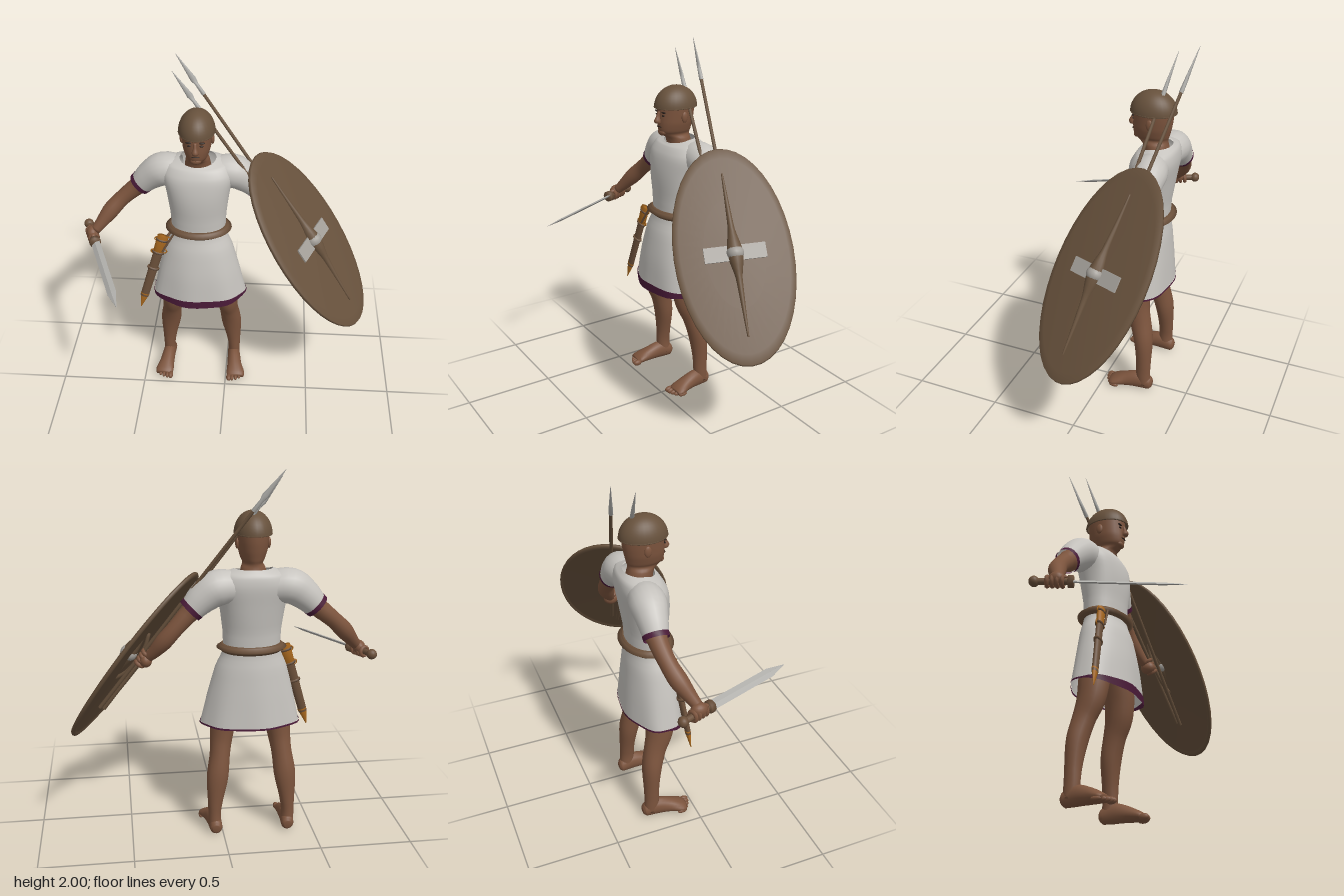
import * as THREE from 'three';

const V = (x, y, z) => new THREE.Vector3(x, y, z);
const paint = (name, color, side = THREE.FrontSide) => {
  const m = new THREE.MeshStandardMaterial({ color, side });
  m.name = name;
  return m;
};
const CX = -0.16; // body centre line

// Lofts elliptical rings along points [x, y, z, radiusA, radiusB, squareness]
function loft(points, { n = 16, steps = 4, roll = 0, level = false, caps = true, flat = false, warp = null } = {}) {
  const path = new THREE.CatmullRomCurve3(points.map(p => V(p[0], p[1], p[2])));
  const radii = new THREE.CatmullRomCurve3(points.map(p => V(p[3], p[4] ?? p[3], p[5] ?? 1)));
  const rows = (points.length - 1) * steps, pos = [], idx = [];
  const pw = (v, e) => Math.sign(v) * Math.abs(v) ** e;
  for (let i = 0; i <= rows; i++) {
    const p = path.getPoint(i / rows), r = radii.getPoint(i / rows);
    const t = level ? V(0, 1, 0) : path.getTangent(i / rows);
    const u = V().crossVectors(t, Math.abs(t.z) > 0.9 ? V(0, 1, 0) : V(0, 0, 1)).normalize().applyAxisAngle(t, roll);
    const w = V().crossVectors(t, u);
    for (let j = 0; j < n; j++) {
      const a = (j / n) * Math.PI * 2;
      const q = p.clone().addScaledVector(u, pw(Math.cos(a), r.z) * r.x).addScaledVector(w, pw(Math.sin(a), r.z) * r.y);
      if (warp) warp(q, a, i / rows);
      pos.push(q.x, q.y, q.z);
    }
  }
  for (let i = 0; i < rows; i++) for (let j = 0; j < n; j++) {
    const a = i * n + j, b = i * n + (j + 1) % n;
    idx.push(a, b, a + n, b, b + n, a + n);
  }
  if (caps) for (const [row, p, flip] of [[0, points[0], true], [rows, points.at(-1), false]]) {
    const c = pos.length / 3;
    pos.push(p[0], p[1], p[2]);
    for (let j = 0; j < n; j++) {
      const a = row * n + j, b = row * n + (j + 1) % n;
      idx.push(c, flip ? b : a, flip ? a : b);
    }
  }
  let g = new THREE.BufferGeometry();
  g.setAttribute('position', new THREE.Float32BufferAttribute(pos, 3));
  g.setIndex(idx);
  if (flat) g = g.toNonIndexed();
  g.computeVertexNormals();
  return g;
}

export function createModel() {
  const skin = paint('skin', 0x7c543d);
  const cloth = paint('undyed cloth', 0xc6c3be, THREE.DoubleSide);
  const purple = paint('purple trim', 0x4a1a38, THREE.DoubleSide);
  const wood = paint('brown wood', 0x67513c, THREE.DoubleSide);
  const leather = paint('leather', 0x6b503a);
  const steel = paint('steel', 0xb0afab);
  const plate = paint('shield plate', 0xa39f99);
  const brass = paint('brass', 0xa8681e);
  const dark = paint('dark hair', 0x2c211b);

  const model = new THREE.Group();
  const add = (name, geo, mat, parent = model) => {
    const m = new THREE.Mesh(geo, mat);
    m.name = name;
    parent.add(m);
    return m;
  };
  const ball = (name, mat, p, s, parent = model) => {
    const m = add(name, new THREE.SphereGeometry(1, 16, 12), mat, parent);
    m.position.set(...p);
    m.scale.set(...s);
    return m;
  };
  const rod = (name, mat, a, b, r, r2 = r) => add(name, loft([[...a, r], [...b, r2]], { n: 8, steps: 1 }), mat);

  // Head and neck
  add('head', loft([
    [CX, 1.42, -0.225, 0.075, 0.07], [CX, 1.49, -0.21, 0.064, 0.07], [CX, 1.515, -0.193, 0.052, 0.085],
    [CX, 1.535, -0.188, 0.062, 0.097], [CX, 1.58, -0.19, 0.075, 0.105], [CX, 1.63, -0.194, 0.08, 0.108],
    [CX, 1.69, -0.195, 0.083, 0.108], [CX, 1.73, -0.195, 0.06, 0.08]], { n: 24, level: true }), skin);
  add('nose', loft([[CX, 1.583, -0.082, 0.017, 0.019], [CX, 1.594, -0.078, 0.018, 0.021],
    [CX, 1.62, -0.082, 0.01, 0.013], [CX, 1.645, -0.088, 0.009, 0.008]], { n: 10, level: true }), skin);
  ball('mouth', dark, [CX, 1.563, -0.088], [0.022, 0.003, 0.007]);
  ball('chin', skin, [CX, 1.53, -0.108], [0.03, 0.02, 0.02]);
  for (const s of [-1, 1]) {
    ball('eye', dark, [CX + s * 0.031, 1.625, -0.094], [0.012, 0.005, 0.005]);
    ball('eyebrow', dark, [CX + s * 0.032, 1.643, -0.095], [0.02, 0.005, 0.007]);
    ball('ear', skin, [CX + s * 0.082, 1.615, -0.2], [0.01, 0.03, 0.019]);
  }

  // Domed cap with a narrow rim
  const cap = add('helmet', new THREE.SphereGeometry(1, 28, 12, 0, Math.PI * 2, 0, Math.PI / 2), wood);
  cap.position.set(CX, 1.662, -0.194);
  cap.scale.set(0.098, 0.118, 0.126);
  const rim = add('helmetRim', new THREE.TorusGeometry(1, 0.045, 6, 28), wood);
  rim.position.set(CX, 1.665, -0.194);
  rim.rotation.x = Math.PI / 2;
  rim.scale.set(0.095, 0.122, 0.1);

  // Tunic: flared skirt with soft folds, narrow waist, broad chest, dipped neckline
  const fold = (q, a) => {
    const k = 1 + 0.022 * Math.cos(7 * a) * THREE.MathUtils.clamp((0.98 - q.y) / 0.35, 0, 1);
    q.x = CX + (q.x - CX) * k;
    q.z = -0.17 + (q.z + 0.17) * k;
  };
  add('tunic', loft([
    [CX, 0.64, -0.17, 0.268, 0.162], [CX, 0.8, -0.172, 0.232, 0.15], [CX, 0.95, -0.18, 0.192, 0.13],
    [CX, 1.06, -0.19, 0.152, 0.108], [CX, 1.16, -0.192, 0.156, 0.112], [CX, 1.3, -0.2, 0.175, 0.124, 0.9],
    [CX, 1.4, -0.215, 0.195, 0.122, 0.85], [CX, 1.465, -0.228, 0.17, 0.1, 0.9], [CX, 1.492, -0.222, 0.1, 0.08]],
  { n: 40, level: true, caps: false, warp: (q, a) => {
    fold(q, a);
    if (q.y > 1.45) q.y -= 0.6 * (q.y - 1.45) * Math.max(0, -Math.sin(a));
  } }), cloth);
  add('tunicHem', loft([[CX, 0.632, -0.17, 0.272, 0.165], [CX, 0.65, -0.17, 0.271, 0.164]],
    { n: 40, steps: 1, level: true, caps: false, warp: (q, a, t) => {
      fold(q, a);
      const front = Math.max(0, -Math.sin(a));
      q.y += t ? (front - 1) * 0.008 : -0.03 * front;
    } }), purple);
  add('belt', loft([[CX, 1.04, -0.19, 0.158, 0.114], [CX, 1.05, -0.19, 0.168, 0.124],
    [CX, 1.075, -0.19, 0.168, 0.124], [CX, 1.085, -0.19, 0.158, 0.114]], { n: 32, steps: 2, level: true }), leather);

  // Sleeves, legs and feet, mirrored about the body
  for (const s of [-1, 1]) {
    const X = d => CX + s * d;
    add('sleeve', loft([[X(0.1), 1.395, -0.235, 0.085, 0.085], [X(0.19), 1.395, -0.245, 0.094, 0.094],
      [X(0.26), 1.352, -0.252, 0.083, 0.08], [X(0.322), 1.292, -0.257, 0.066, 0.064]], { n: 20, caps: false }), cloth);
    add('sleeveTrim', loft([[X(0.315), 1.3, -0.257, 0.07, 0.067], [X(0.334), 1.282, -0.258, 0.067, 0.065]],
      { n: 20, steps: 1, caps: false }), purple);
    add('leg', loft([[X(0.203), 0.04, -0.25, 0.036, 0.042], [X(0.205), 0.11, -0.245, 0.035, 0.042],
      [X(0.2), 0.2, -0.244, 0.043, 0.044], [X(0.186), 0.34, -0.235, 0.06, 0.055], [X(0.172), 0.45, -0.21, 0.056, 0.062],
      [X(0.16), 0.55, -0.18, 0.063, 0.077], [X(0.145), 0.66, -0.172, 0.072, 0.085], [X(0.1), 0.85, -0.18, 0.085, 0.09]],
    { n: 18 }), skin);
    add('foot', loft([[X(0.2), 0.04, -0.3, 0.02, 0.022], [X(0.2), 0.042, -0.285, 0.034, 0.04],
      [X(0.205), 0.055, -0.22, 0.038, 0.054], [X(0.212), 0.044, -0.14, 0.044, 0.042],
      [X(0.222), 0.029, -0.075, 0.055, 0.026], [X(0.224), 0.022, -0.05, 0.045, 0.016]], { n: 16 }), skin);
    for (let i = 0; i < 5; i++)
      ball('toe', skin, [X(0.182 + i * 0.021), 0.02 - i * 0.001, -0.042 - i * i * 0.0025],
        [i ? 0.011 : 0.016, 0.018 - i * 0.0015, 0.028]);
  }

  // Arms
  add('rightArm', loft([[-0.42, 1.335, -0.25, 0.05], [-0.5, 1.275, -0.255, 0.05], [-0.59, 1.2, -0.24, 0.044],
    [-0.65, 1.14, -0.215, 0.047], [-0.71, 1.07, -0.175, 0.035], [-0.745, 1.03, -0.15, 0.027]], { n: 16 }), skin);
  add('leftArm', loft([[0.1, 1.335, -0.25, 0.05], [0.17, 1.275, -0.255, 0.05], [0.25, 1.19, -0.26, 0.044],
    [0.3, 1.13, -0.25, 0.045], [0.355, 1.06, -0.22, 0.034], [0.385, 1.025, -0.2, 0.026]], { n: 16 }), skin);

  // Fists: palm, four curled fingers and a thumb around a grip running from a to b
  const fist = (name, palm, a, b) => {
    const g = new THREE.Group();
    g.name = name;
    model.add(g);
    ball('palm', skin, palm, [0.034, 0.038, 0.044], g);
    const dir = V().subVectors(b, a).normalize();
    for (let i = 0; i < 4; i++) {
      const f = add('finger', new THREE.TorusGeometry(0.024, 0.011, 6, 14), skin, g);
      f.position.lerpVectors(a, b, i / 3);
      f.quaternion.setFromUnitVectors(V(0, 0, 1), dir);
    }
    ball('thumb', skin, [b.x, b.y + 0.022, b.z], [0.016, 0.014, 0.026], g);
  };
  fist('rightHand', [-0.76, 1.018, -0.15], V(-0.778, 1.004, -0.19), V(-0.75, 1.0, -0.12));
  fist('leftHand', [0.4, 1.005, -0.19], V(0.392, 1.045, -0.192), V(0.43, 0.985, -0.175));

  // Short sword
  rod('swordGrip', leather, [-0.8, 1.006, -0.245], [-0.737, 1, -0.085], 0.017);
  ball('swordPommel', leather, [-0.802, 1.006, -0.25], [0.028, 0.028, 0.026]);
  rod('swordGuard', leather, [-0.741, 1, -0.094], [-0.732, 0.999, -0.07], 0.033);
  add('swordBlade', loft([[-0.735, 1, -0.08, 0.026, 0.007], [-0.572, 0.976, 0.33, 0.026, 0.007],
    [-0.53, 0.97, 0.437, 0.001, 0.001]], { n: 4, steps: 1, roll: 0.5, flat: true }), steel);

  // Scabbard hanging at the right hip
  const at = t => [-0.355 - 0.145 * t, 1.03 - 0.48 * t, -0.115 + 0.045 * t];
  const sheath = (name, mat, t0, t1, r0, r1) =>
    add(name, loft([[...at(t0), r0, r0 * 0.6], [...at(t1), r1, r1 * 0.6]], { n: 10, steps: 1 }), mat);
  sheath('scabbardBody', leather, 0, 0.84, 0.028, 0.024);
  sheath('scabbardThroat', brass, -0.01, 0.2, 0.032, 0.03);
  sheath('scabbardTip', brass, 0.8, 1, 0.026, 0.003);
  for (const t of [0.03, 0.2, 0.42]) sheath('scabbardBand', leather, t, t + 0.025, 0.035, 0.035);
  for (const [t, d] of [[0.03, 0.035], [0.2, 0.035], [0.03, -0.03], [0.2, -0.03]]) {
    const ring = add('scabbardRing', new THREE.TorusGeometry(0.012, 0.004, 6, 12), brass);
    const p = at(t);
    ring.position.set(p[0] + d, p[1], p[2]);
  }
  rod('scabbardStrap', leather, [-0.3, 1.06, -0.15], [-0.355, 1.0, -0.115], 0.008);
  rod('scabbardStrap', leather, [-0.29, 1.06, -0.11], [-0.36, 0.94, -0.09], 0.006);

  // Two javelins held behind the shield
  for (const [tip, end] of [[V(-0.283, 2, -0.39), V(0.65, 0.72, -0.11)], [V(-0.29, 1.955, -0.275), V(0.63, 0.7, -0.08)]]) {
    const along = (t, ...r) => [...V().lerpVectors(tip, end, t).toArray(), ...r];
    rod('javelinShaft', wood, along(1), along(0.13), 0.011, 0.009);
    add('javelinHead', loft([along(0.16, 0.012, 0.012), along(0.12, 0.01, 0.01), along(0.1, 0.017, 0.007),
      along(0, 0.001, 0.001)], { n: 6, steps: 1 }), steel);
  }

  // Oval shield, built facing +z and turned into place
  const shield = new THREE.Group();
  shield.name = 'shield';
  const up = V(-0.553, 0.812, -0.19).normalize();
  const out = V(0.722, 0.578, 0.369).normalize();
  const across = V().crossVectors(up, out).normalize();
  out.crossVectors(across, up);
  shield.quaternion.setFromRotationMatrix(new THREE.Matrix4().makeBasis(across, up, out));
  shield.position.set(0.47, 1.02, -0.145);
  model.add(shield);
  const profile = [[0, 0.002], [0.94, -0.014], [0.95, -0.022], [0.99, -0.022], [1, -0.012], [0.99, -0.002], [0.9, 0.004], [0.5, 0.014], [0, 0.02]];
  const board = new THREE.LatheGeometry(profile.map(p => new THREE.Vector2(...p)), 40);
  board.rotateX(Math.PI / 2).scale(0.314, 0.576, 1);
  add('shieldBoard', board, wood, shield);
  add('shieldRib', loft([[0, -0.43, 0.01, 0.005, 0.006], [0, -0.28, 0.015, 0.011, 0.011], [0, -0.13, 0.02, 0.018, 0.02],
    [0, 0, 0.022, 0.042, 0.04], [0, 0.13, 0.02, 0.018, 0.02], [0, 0.28, 0.015, 0.011, 0.011], [0, 0.43, 0.01, 0.005, 0.006]],
  { n: 12 }), wood, shield);
  const strip = add('shieldPlate', new THREE.BoxGeometry(0.325, 0.08, 0.009), plate, shield);
  strip.position.z = 0.022;
  ball('shieldBoss', plate, [0, 0, 0.022], [0.046, 0.042, 0.046], shield);
  add('shieldGrip', loft([[0, -0.16, -0.004, 0.01], [0, -0.08, -0.03, 0.01], [0, 0.08, -0.03, 0.01], [0, 0.16, -0.004, 0.01]],
    { n: 8 }), wood, shield);

  return model;
}
